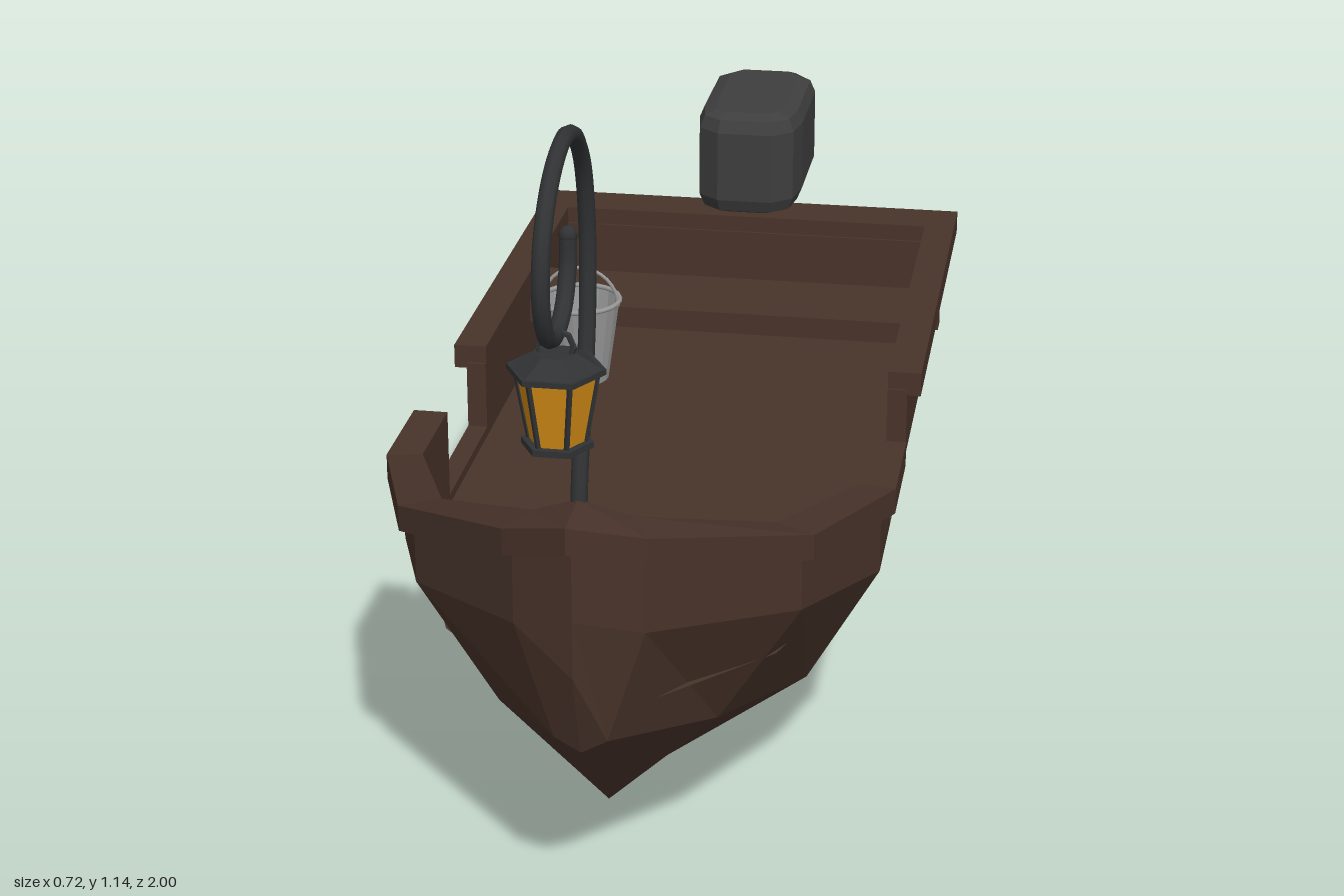
import * as THREE from 'three';

const mat = (color, extra = {}) => new THREE.MeshStandardMaterial({ color, ...extra });
const wood = mat(0x48332a, { flatShading: true });
const iron = mat(0x303234);
const ironFlat = mat(0x303234, { flatShading: true });
const motorGrey = mat(0x3e3e3f, { flatShading: true });
const tin = mat(0x9a9a9a, { side: THREE.DoubleSide });
const amber = mat(0xd08a14, { flatShading: true });

function add(parent, name, geometry, material, x = 0, y = 0, z = 0) {
  const mesh = new THREE.Mesh(geometry, material);
  mesh.name = name;
  mesh.position.set(x, y, z);
  parent.add(mesh);
  return mesh;
}

// Joins equal-length closed rings of [x, y, z] points; flat facets, optional fan caps
function loft(rings, caps = true, extraTris = []) {
  const tris = [...extraTris];
  for (let r = 0; r < rings.length - 1; r++) {
    const a = rings[r], b = rings[r + 1], n = a.length;
    for (let i = 0; i < n; i++) {
      const j = (i + 1) % n;
      tris.push([a[i], a[j], b[j]], [a[i], b[j], b[i]]);
    }
  }
  if (caps) {
    const s = rings[0], e = rings[rings.length - 1];
    for (let i = 1; i < s.length - 1; i++) tris.push([s[0], s[i + 1], s[i]], [e[0], e[i], e[i + 1]]);
  }
  const g = new THREE.BufferGeometry();
  g.setAttribute('position', new THREE.Float32BufferAttribute(tris.flat(2), 3));
  g.computeVertexNormals();
  return g;
}

const flip = ([x, y, z]) => [-x, y, z];
const FLOOR = 0.335;

function buildHull() {
  // Half section: keel, chine, knuckle, outer top, inner top, inner floor, floor centre
  const mid = (z, top) => [[0, 0, z], [0.24, 0.175, z], [0.34, 0.35, z], [0.34, top, z],
    [0.31, top, z], [0.31, FLOOR, z], [0, FLOOR, z]];
  const stern = mid(-0.735, 0.455);
  stern[0][2] = -0.62;
  stern[1][2] = -0.71;
  const halves = [
    stern,
    mid(-0.05, 0.455), mid(-0.05, 0.35), mid(0.2, 0.35), mid(0.2, 0.455), mid(0.35, 0.455),
    [[0, 0.1, 0.6], [0.15, 0.24, 0.6], [0.26, 0.41, 0.6], [0.26, 0.5, 0.6],
      [0.225, 0.5, 0.585], [0.225, FLOOR, 0.585], [0, FLOOR, 0.585]],
    [[0, 0.28, 0.79], [0.035, 0.3, 0.79], [0.085, 0.46, 0.79], [0.085, 0.57, 0.79],
      [0.065, 0.57, 0.755], [0.065, FLOOR, 0.755], [0, FLOOR, 0.755]],
    [[0, 0.4, 0.835], [0, 0.41, 0.835], [0, 0.49, 0.835], [0, 0.6, 0.835],
      [0, 0.6, 0.785], [0, FLOOR, 0.785], [0, FLOOR, 0.785]],
  ];
  const rings = halves.map(h => [...h, ...h.slice(1, 6).reverse().map(flip)]);
  // Raked transom below the knuckle
  const [k, c, n] = stern;
  const transom = [[k, flip(c), c], [c, flip(c), flip(n)], [c, flip(n), n]];
  return loft(rings, false, transom);
}

// Gunwale: rectangular section swept along [outer x, outer z, inner x, inner z, top y]
function railRings(stations, side) {
  return stations.map(([xo, zo, xi, zi, y]) => {
    const r = [[xo, y - 0.037, zo], [xo, y, zo], [xi, y, zi], [xi, y - 0.037, zi]];
    return side > 0 ? r : r.map(flip).reverse();
  });
}

function buildBoat(model) {
  const boat = new THREE.Group();
  boat.name = 'boat';
  model.add(boat);
  add(boat, 'hull', buildHull(), wood);
  add(boat, 'transomWall', new THREE.BoxGeometry(0.678, 0.16, 0.035), wood, 0, 0.375, -0.7175);
  add(boat, 'sternRail', new THREE.BoxGeometry(0.72, 0.037, 0.085), wood, 0, 0.4635, -0.7475);
  add(boat, 'bench', new THREE.BoxGeometry(0.62, 0.035, 0.16), wood, 0, 0.415, -0.457);
  for (const s of [1, -1]) {
    add(boat, 'aftRail', loft(railRings([
      [0.36, -0.705, 0.31, -0.705, 0.482], [0.36, -0.055, 0.31, -0.055, 0.482]], s)), wood);
    add(boat, 'bowRail', loft(railRings([
      [0.36, 0.2, 0.31, 0.2, 0.482], [0.36, 0.36, 0.31, 0.35, 0.482],
      [0.277, 0.615, 0.225, 0.585, 0.528], [0.092, 0.815, 0.065, 0.755, 0.604],
      [0, 0.87, 0, 0.785, 0.637]], s)), wood);
  }
}

function buildLamp(model) {
  // Scrolled post, points given as [z, y]
  const path = [[0.775, 0.45], [0.783, 0.6], [0.765, 0.69], [0.73, 0.78], [0.708, 0.87],
    [0.705, 0.97], [0.73, 1.06], [0.78, 1.11], [0.845, 1.125], [0.92, 1.1], [0.972, 1.045],
    [0.985, 0.98], [0.96, 0.925], [0.905, 0.905], [0.855, 0.922], [0.828, 0.96], [0.823, 1.0]];
  const curve = new THREE.CatmullRomCurve3(path.map(([z, y]) => new THREE.Vector3(0, y, z)));
  add(model, 'lampPost', new THREE.TubeGeometry(curve, 90, 0.011, 8), iron);
  add(model, 'lampPostTip', new THREE.SphereGeometry(0.012, 8, 6), iron, 0, 1.0, 0.823);

  const lantern = new THREE.Group();
  lantern.name = 'lantern';
  lantern.position.z = 0.905;
  lantern.rotation.y = Math.PI / 2;
  model.add(lantern);
  const hex = (name, rt, rb, h, y, m) => add(lantern, name, new THREE.CylinderGeometry(rt, rb, h, 6), m, 0, y, 0);
  hex('lanternGlass', 0.05, 0.034, 0.09, 0.815, amber);
  hex('lanternBase', 0.044, 0.044, 0.008, 0.768, ironFlat);
  hex('lanternBrim', 0.06, 0.06, 0.007, 0.862, ironFlat);
  hex('lanternCap', 0.025, 0.056, 0.018, 0.874, ironFlat);
  for (let i = 0; i < 6; i++) {
    const a = i * Math.PI / 3;
    const at = (r, y) => new THREE.Vector3(Math.sin(a) * r, y, Math.cos(a) * r);
    const bar = new THREE.LineCurve3(at(0.034, 0.77), at(0.05, 0.86));
    add(lantern, 'lanternBar', new THREE.TubeGeometry(bar, 1, 0.0035, 4), ironFlat);
  }
  const ring = add(lantern, 'hangingRing', new THREE.TorusGeometry(0.022, 0.004, 6, 8), ironFlat, 0, 0.89, 0);
  ring.rotation.y = Math.PI / 2;
}

function buildMotor(model) {
  const motor = new THREE.Group();
  motor.name = 'outboardMotor';
  model.add(motor);
  // Cowl: bevelled plan outline, shape y runs toward the stern
  const bevel = 0.03;
  const half = [[0.035, 0.72], [0.053, 0.735], [0.06, 0.78], [0.06, 0.945], [0.04, 0.97]];
  const outline = [...half, ...half.map(([x, y]) => [-x, y]).reverse()];
  const cowl = new THREE.ExtrudeGeometry(new THREE.Shape(outline.map(p => new THREE.Vector2(...p))), {
    depth: 0.12, bevelSize: bevel, bevelThickness: bevel, bevelSegments: 2 });
  cowl.rotateX(-Math.PI / 2);
  add(motor, 'cowl', cowl, motorGrey, 0, 0.515, 0);
  // Leg rows: height, half width, front z, back z
  const rows = [[0.195, 0.022, -0.785, -0.905], [0.24, 0.026, -0.79, -0.895],
    [0.34, 0.036, -0.79, -0.898], [0.42, 0.05, -0.785, -0.915], [0.5, 0.058, -0.782, -0.935]];
  add(motor, 'leg', loft(rows.map(([y, w, f, b]) =>
    [[w, y, f], [w, y, b], [-w, y, b], [-w, y, f]])), motorGrey);
}

function buildBucket(model) {
  const bucket = new THREE.Group();
  bucket.name = 'bucket';
  bucket.position.set(-0.21, FLOOR, -0.3);
  model.add(bucket);
  const profile = [[0, 0.004], [0.045, 0.004], [0.064, 0.138]].map(p => new THREE.Vector2(...p));
  const pail = new THREE.LatheGeometry(profile, 20).toNonIndexed();
  pail.computeVertexNormals();
  add(bucket, 'pail', pail, tin);
  add(bucket, 'rim', new THREE.TorusGeometry(0.064, 0.004, 6, 24), tin, 0, 0.138, 0).rotation.x = Math.PI / 2;
  const handle = new THREE.TorusGeometry(0.062, 0.003, 6, 16, Math.PI);
  add(bucket, 'handle', handle, tin, 0, 0.13, 0);
}

export function createModel() {
  const model = new THREE.Group();
  model.name = 'lanternBoat';
  buildBoat(model);
  buildLamp(model);
  buildMotor(model);
  buildBucket(model);
  return model;
}
